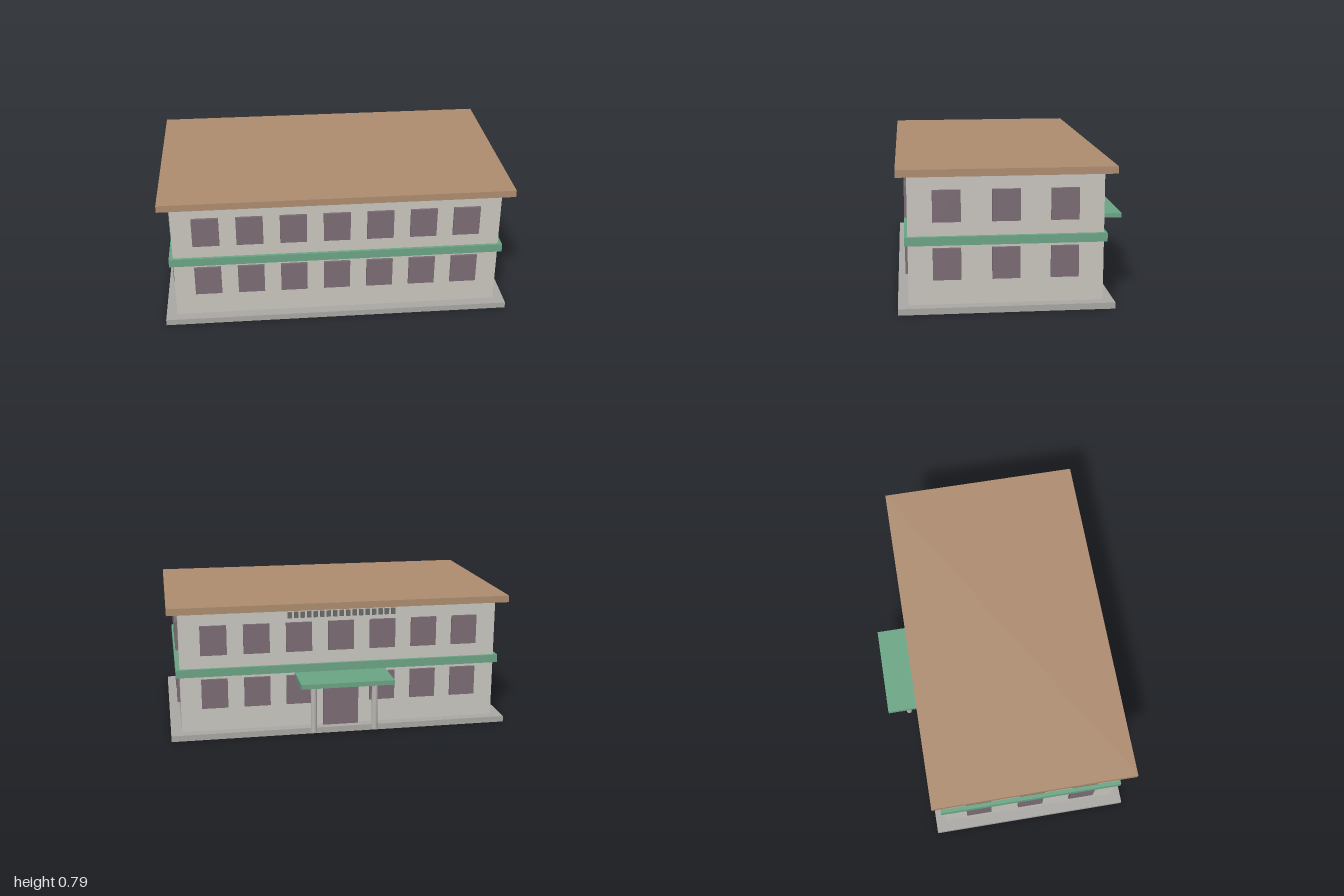
import * as THREE from 'three';

const paint = (name, color) => {
  const m = new THREE.MeshStandardMaterial({ color });
  m.name = name;
  return m;
};

export function createModel() {
  const model = new THREE.Group();
  model.name = 'twoStoreyBuilding';
  const wall = paint('wall plaster', 0xc9c6bf);
  const stone = paint('plinth grey', 0xaaa8a4);
  const tan = paint('roof tan', 0xae8d70);
  const green = paint('trim green', 0x6ba585);
  const glass = paint('window mauve', 0x7b6c74);
  const pale = paint('column grey', 0xb9b5b2);
  const dark = paint('sign grey', 0x6a6a6a);

  // Box given by its limits on each axis
  const box = (name, mat, [x0, x1], [y0, y1], [z0, z1], parent = model) => {
    const mesh = new THREE.Mesh(new THREE.BoxGeometry(x1 - x0, y1 - y0, z1 - z0), mat);
    mesh.position.set((x0 + x1) / 2, (y0 + y1) / 2, (z0 + z1) / 2);
    mesh.name = name;
    parent.add(mesh);
    return mesh;
  };

  // Main body
  box('plinth', stone, [-1, 1], [0, 0.035], [-0.495, 0.682]);
  box('walls', wall, [-0.937, 0.937], [0.035, 0.747], [-0.436, 0.624]);
  box('floorBand', green, [-0.96, 0.96], [0.368, 0.415], [-0.452, 0.641]);
  box('roof', tan, [-1, 1], [0.747, 0.787], [-0.495, 0.682]);

  // Windows on both storeys
  const windows = new THREE.Group();
  windows.name = 'windows';
  model.add(windows);
  const half = 0.076;
  [[0.175, 0.35], [0.493, 0.667]].forEach((ys, storey) => {
    for (let i = -3; i <= 3; i++) {
      const x = i * 0.2475 - 0.002;
      const xs = [x - half, x + half];
      box('frontWindow', glass, xs, ys, [0.62, 0.638], windows);
      // The door takes the middle place on the lower back wall
      if (storey === 1 || i !== 0) box('backWindow', glass, xs, ys, [-0.449, -0.43], windows);
    }
    for (const z of [0.415, 0.096, -0.222]) {
      const zs = [z - half, z + half];
      box('rightWindow', glass, [0.93, 0.953], ys, zs, windows);
      box('leftWindow', glass, [-0.953, -0.93], ys, zs, windows);
    }
  });

  // Entrance with canopy and columns
  const entrance = new THREE.Group();
  entrance.name = 'entrance';
  model.add(entrance);
  box('door', glass, [-0.105, 0.105], [0.035, 0.32], [-0.455, -0.43], entrance);
  box('canopy', green, [-0.27, 0.27], [0.336, 0.363], [-0.682, -0.436], entrance);
  const columnShape = new THREE.CylinderGeometry(0.018, 0.018, 0.3, 16);
  for (const side of [-1, 1]) {
    const column = new THREE.Mesh(columnShape, pale);
    column.name = 'column';
    column.position.set(side * 0.18, 0.187, -0.564);
    entrance.add(column);
  }

  // Row of small blank blocks under the back eave
  const sign = new THREE.Group();
  sign.name = 'signBlocks';
  model.add(sign);
  for (let i = 0; i < 17; i++) {
    const x = (i - 8) * 0.038;
    box('signBlock', dark, [x - 0.012, x + 0.012], [0.702, 0.737], [-0.483, -0.47], sign);
  }
  return model;
}
